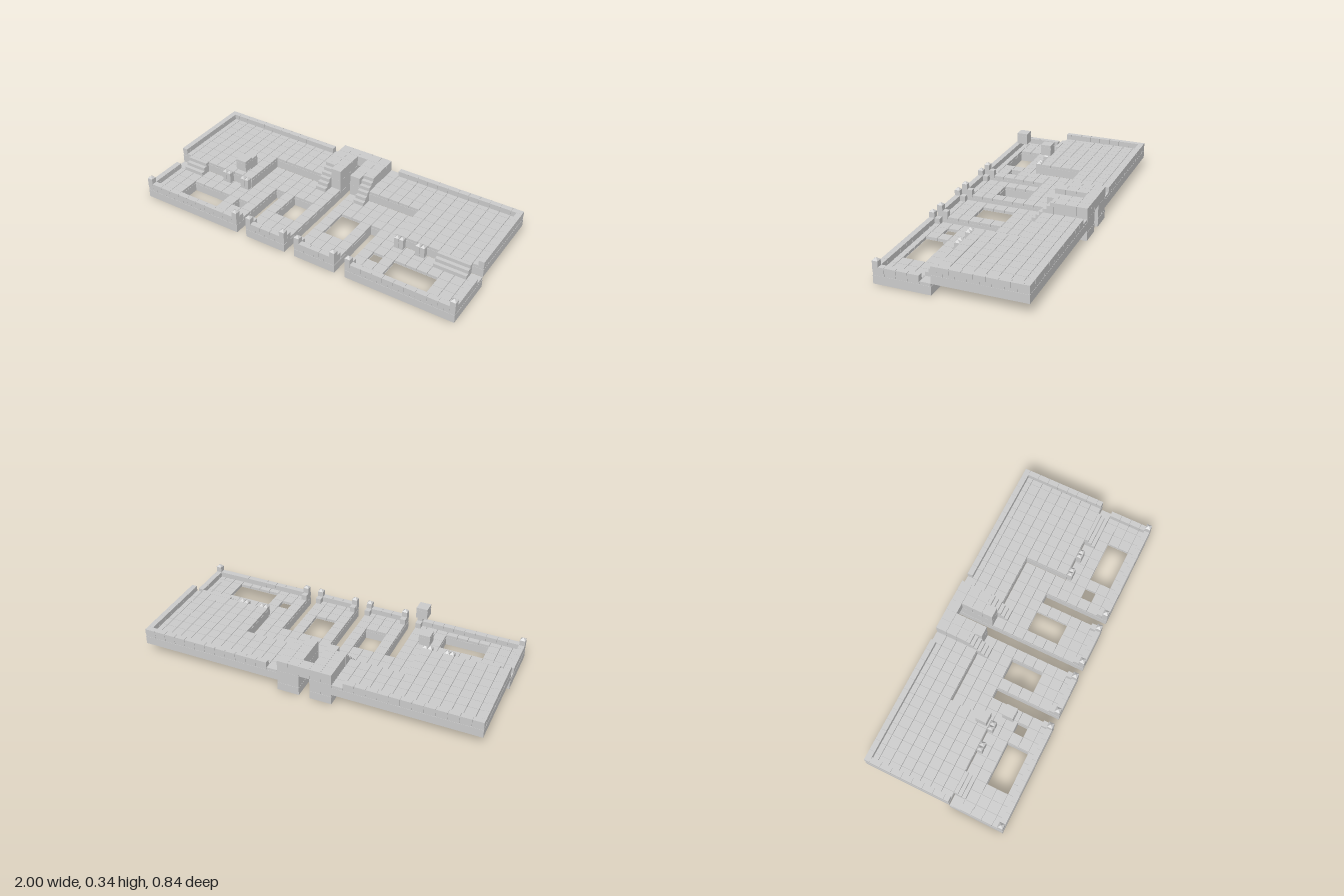
import * as THREE from 'three';
import { mergeGeometries } from 'three/addons/utils/BufferGeometryUtils.js';

const U = 2 / 31;      // one floor tile; all layout numbers below are in tiles
const CAP = 0.25;      // thickness of the floor tiles
const GAP = 0.02;      // joint between neighbouring pieces

const stone = new THREE.MeshStandardMaterial({ color: 0xcccccc, flatShading: true });

// Half plans (x, z), mirrored to the other side
const LOWER = {
  y: 0,
  outline: [[0.5, 6.5], [0.5, -6.5], [2.5, -6.5], [2.5, -2.5], [7.5, -2.5], [7.5, 1.5],
    [15.5, 1.5], [15.5, 6.5], [5.5, 6.5], [5.5, 0.5], [4.5, 0.5], [4.5, 6.5]],
  holes: [[1.5, 3.5, 0.5, 3.5], [8.5, 12.5, 3.5, 5.5], [6.5, 7.5, 3.5, 4.5]],
};
const UPPER = {
  y: 1,
  outline: [[2.5, -6.5], [15.5, -6.5], [15.5, 1.5], [7.5, 1.5], [7.5, -2.5], [2.5, -2.5]],
  holes: [],
};

// Box between two corners, in tiles
function box(x0, x1, y0, y1, z0, z1) {
  return new THREE.BoxGeometry(Math.abs(x1 - x0) * U, (y1 - y0) * U, (z1 - z0) * U)
    .translate((x0 + x1) / 2 * U, (y0 + y1) / 2 * U, (z0 + z1) / 2 * U);
}

function addPart(parent, name, geometries) {
  const mesh = new THREE.Mesh(mergeGeometries(geometries.map((g) => g.toNonIndexed())), stone);
  mesh.name = name;
  parent.add(mesh);
}

function inside(plan, x, z) {
  if (plan.holes.some(([x0, x1, z0, z1]) => x > x0 && x < x1 && z > z0 && z < z1)) return false;
  let hit = false;
  plan.outline.forEach(([ax, az], i) => {
    const [bx, bz] = plan.outline[(i + 1) % plan.outline.length];
    if ((az > z) !== (bz > z) && x < ax + (z - az) * (bx - ax) / (bz - az)) hit = !hit;
  });
  return hit;
}

// Solid base of a terrace
function slab(plan, s) {
  const points = (list) => list.map(([x, z]) => new THREE.Vector2(s * x * U, -z * U));
  const shape = new THREE.Shape(points(plan.outline));
  for (const [x0, x1, z0, z1] of plan.holes) {
    shape.holes.push(new THREE.Path(points([[x0, z0], [x1, z0], [x1, z1], [x0, z1]])));
  }
  return new THREE.ExtrudeGeometry(shape, { depth: (1 - CAP) * U, bevelEnabled: false })
    .rotateX(-Math.PI / 2).translate(0, plan.y * U, 0);
}

// One paving tile on every covered cell
function paving(plan, s) {
  const tiles = [];
  for (let x = 1; x <= 15; x++) {
    for (let z = -6; z <= 6; z++) {
      if (!inside(plan, x, z)) continue;
      const h = 0.5 - GAP;
      tiles.push(box(s * x - h, s * x + h, plan.y + 1 - CAP, plan.y + 1, z - h, z + h));
    }
  }
  return tiles;
}

// Row of low parapet blocks, split along the longer direction
function parapet(s, x0, x1, y, z0, z1) {
  const blocks = [];
  const alongX = x1 - x0 > z1 - z0;
  const [a, b] = alongX ? [x0, x1] : [z0, z1];
  for (let t = a; t < b - 0.01; t += 1) {
    const p = t + GAP / 2, q = Math.min(t + 1, b) - GAP / 2;
    blocks.push(alongX ? box(s * p, s * q, y, y + 0.5, z0, z1)
      : box(s * x0, s * x1, y, y + 0.5, p, q));
  }
  return blocks;
}

// Square post with a pyramid cap
function post(x, z, w, d) {
  const cap = new THREE.ConeGeometry(Math.SQRT1_2, 0.22, 4).rotateY(Math.PI / 4)
    .scale(w * U, U, d * U).translate(x * U, 2.11 * U, z * U);
  return [box(x - w / 2, x + w / 2, 1, 2, z - d / 2, z + d / 2), cap];
}

// Solid steps, three per tile, climbing towards the back
function stairs(s, x0, x1, zFront, tiles) {
  const steps = [];
  for (let i = 0; i < tiles * 3; i++) {
    steps.push(box(s * x0, s * x1, 1, 1 + (i + 1) / 3, zFront - (i + 1) / 3, zFront - i / 3));
  }
  return steps;
}

// Stone cube with a paving cap
function cube(x, y, z) {
  const h = 0.5 - GAP / 2;
  return [box(x - 0.5, x + 0.5, y, y + 1 - CAP, z - 0.5, z + 0.5),
    box(x - h, x + h, y + 1 - CAP, y + 1, z - h, z + h)];
}

export function createModel() {
  const model = new THREE.Group();
  model.name = 'terracedCourtyard';

  for (const s of [1, -1]) {
    const half = new THREE.Group();
    half.name = s > 0 ? 'leftHalf' : 'rightHalf';
    model.add(half);

    addPart(half, 'lowerTerrace', [slab(LOWER, s)]);
    addPart(half, 'lowerPaving', paving(LOWER, s));
    addPart(half, 'upperTerrace', [slab(UPPER, s)]);
    addPart(half, 'upperPaving', paving(UPPER, s));

    addPart(half, 'upperParapet', [
      ...parapet(s, 3.5, 15.5, 2, -6.5, -6),
      ...parapet(s, 15, 15.5, 2, -6, 1.5),
    ]);
    addPart(half, 'lowerParapet', [
      ...parapet(s, 1, 4, 1, 6, 6.5),
      ...parapet(s, 6, 15, 1, 6, 6.5),
      ...parapet(s, 15, 15.5, 1, 2.5, 6),
      ...[0.5, 4, 5.5].flatMap((x) => parapet(s, x, x + 0.5, 1, 5.5, 6)),
    ]);

    addPart(half, 'parapetPosts', [0.75, 4.25, 5.75, 15.25].flatMap((x) => post(s * x, 6.25, 0.5, 0.5)));
    addPart(half, 'terraceEdgePosts', [8, 10].flatMap((x) => [-0.22, 0.22].flatMap(
      (dx) => post(s * (x + dx), 1.75, 0.4, 0.5))));

    // Bridge piers: a plain course with a darker-jointed course on top
    const cells = [[0.5, -6.5], [0.5, -5.5], [0.5, -4.5], [0.5, -3.5], [1.5, -6.5], [1.5, -5.5], [1.5, -4.5]];
    addPart(half, 'bridgePier', cells.map(([x, z]) => box(s * x, s * (x + 1), 1, 2, z, z + 1)));
    addPart(half, 'bridgeDeck', cells.map(([x, z]) => box(s * (x + GAP / 2), s * (x + 1 - GAP / 2), 2, 3,
      z + GAP / 2, z + 1 - GAP / 2)));
    addPart(half, 'bridgeStairs', stairs(s, 1.5, 2.5, -1.5, 2));
    addPart(half, 'terraceStairs', stairs(s, s > 0 ? 11.5 : 12.5, 14.5, 2.5, 1));
  }

  // Span across the central channel
  addPart(model, 'bridgeSpan', [box(-0.5, 0.5, 2, 3, -6.5, -5.5)]);

  // Two floating stepping blocks
  addPart(model, 'lowFloatingBlock', cube(-8, 3.03, 1));
  addPart(model, 'highFloatingBlock', cube(-7, 4.27, 3));

  return model;
}
